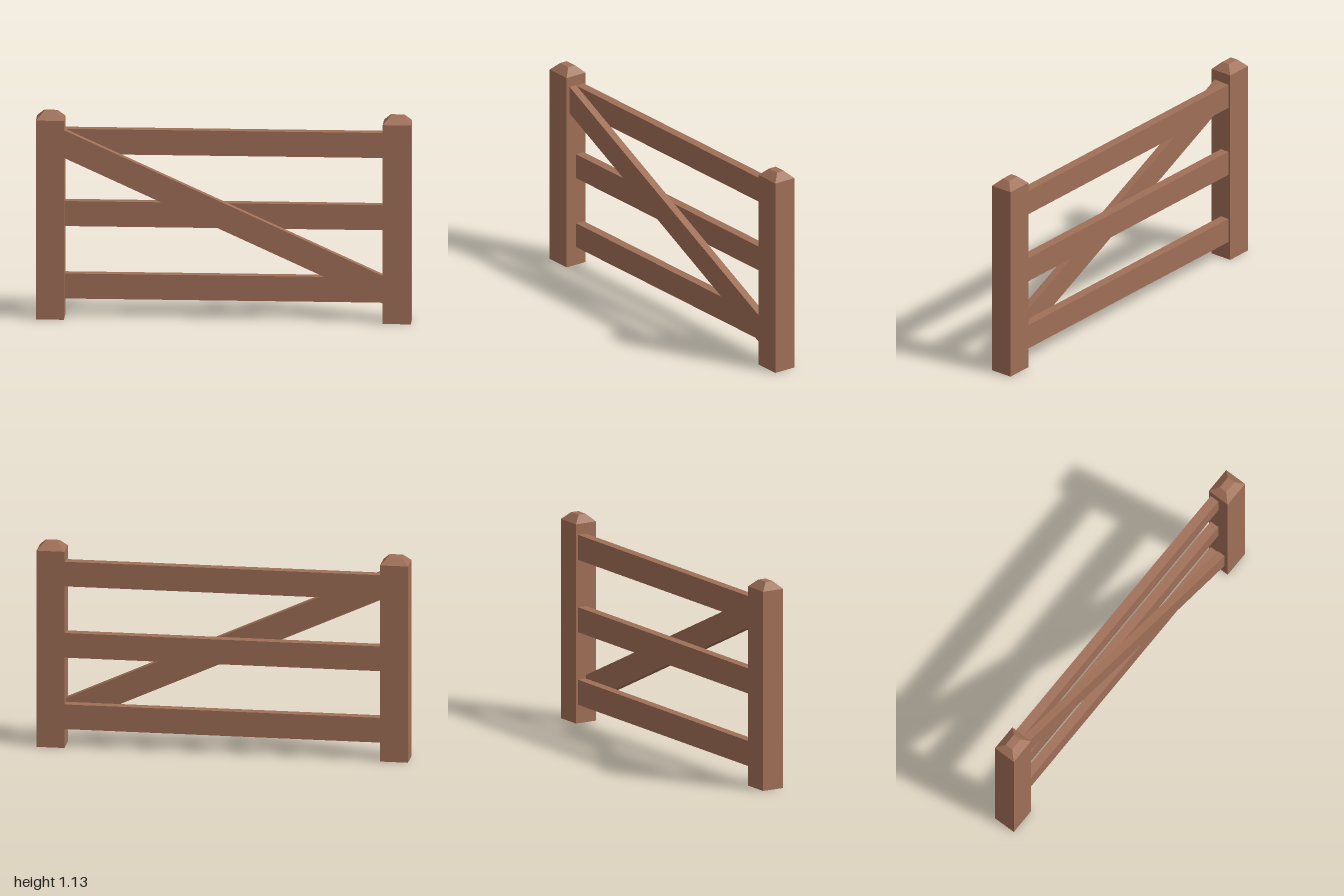
import * as THREE from 'three';

export function createModel() {
  const group = new THREE.Group();
  const wood = new THREE.MeshStandardMaterial({ color: 0xa06f57 });
  wood.name = 'brown wood';

  const add = (name, geometry, x, y, z) => {
    const mesh = new THREE.Mesh(geometry, wood);
    mesh.name = name;
    mesh.position.set(x, y, z);
    group.add(mesh);
  };

  // Post profile: a box whose upper segment tapers into a flat-topped cap
  const postHeight = 1.13, shoulder = 1.09;
  const makePost = () => {
    const geo = new THREE.BoxGeometry(0.15, postHeight, 0.127, 1, 2, 1).toNonIndexed();
    const p = geo.attributes.position;
    for (let i = 0; i < p.count; i++) {
      const y = p.getY(i);
      if (y > 0.1) p.setXYZ(i, p.getX(i) * 0.48, y, p.getZ(i) * 0.35);
      else if (y > -0.1) p.setY(i, shoulder - postHeight / 2);
    }
    geo.computeVertexNormals();
    return geo;
  };
  add('rightPost', makePost(), -0.925, postHeight / 2, 0);
  add('leftPost', makePost(), 0.925, postHeight / 2, 0);

  // Horizontal rails, set in the rear half of the posts
  const inner = 0.85;
  [['bottomRail', 0.17], ['middleRail', 0.567], ['topRail', 0.963]].forEach(([name, y]) =>
    add(name, new THREE.BoxGeometry(inner * 2, 0.137, 0.051), 0, y, -0.0255));

  // Diagonal brace on the front of the rails, cut upright at both ends
  const brace = new THREE.Shape([
    new THREE.Vector2(-inner, 0.882),
    new THREE.Vector2(inner, 0.106),
    new THREE.Vector2(inner, 0.258),
    new THREE.Vector2(-inner, 1.034),
  ]);
  add('diagonalBrace', new THREE.ExtrudeGeometry(brace, { depth: 0.043, bevelEnabled: false }), 0, 0, 0);

  return group;
}
